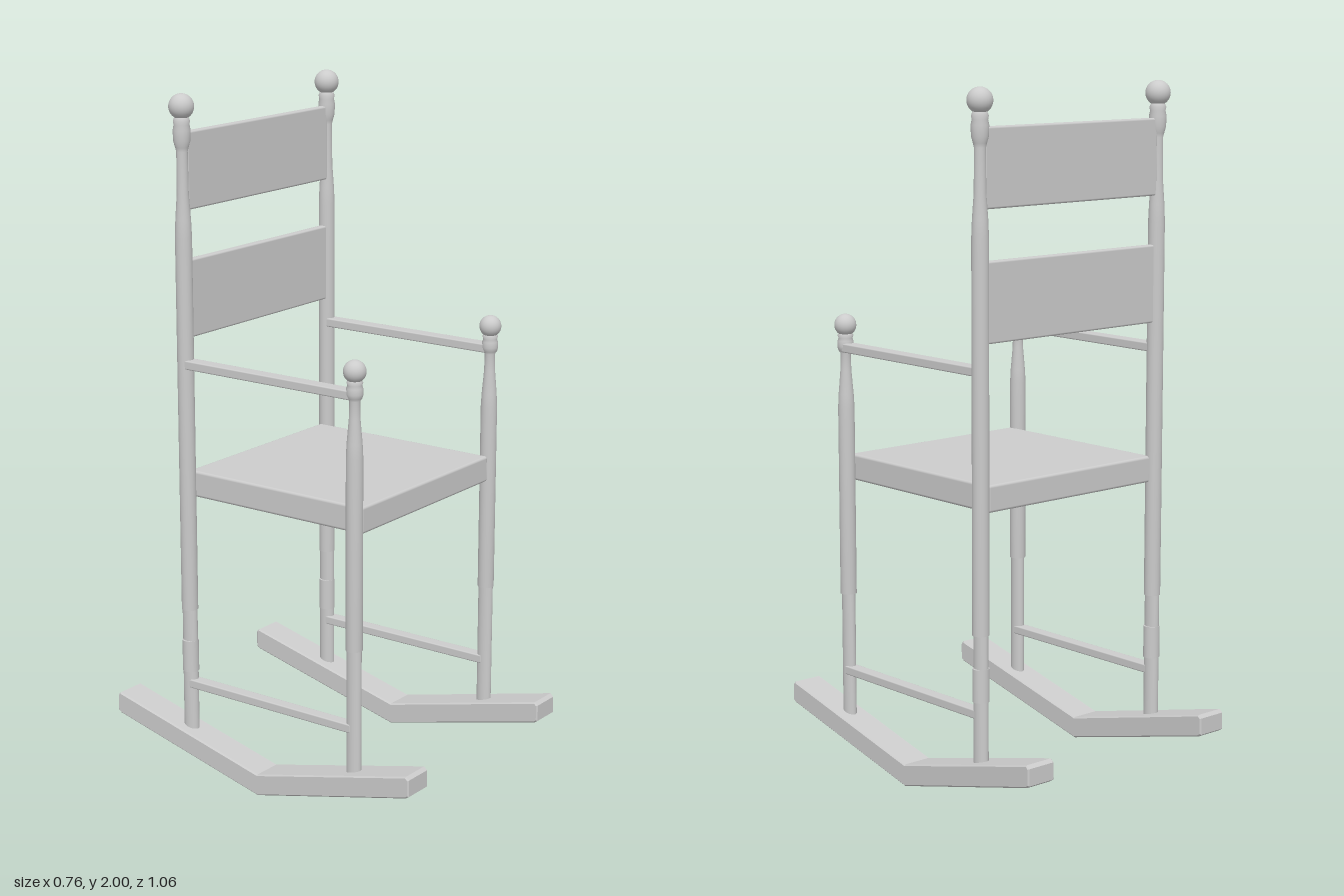
import * as THREE from 'three';
import { RoundedBoxGeometry } from 'three/addons/geometries/RoundedBoxGeometry.js';

const material = new THREE.MeshStandardMaterial({ color: 0xcccccc });
const POST_X = 0.335, BACK_Z = -0.281, FRONT_Z = 0.311;

function add(parent, name, geometry, x = 0, y = 0, z = 0) {
  const mesh = new THREE.Mesh(geometry, material);
  mesh.name = name;
  mesh.position.set(x, y, z);
  parent.add(mesh);
  return mesh;
}

// Box with softened edges, given by its extents
function softBox(parent, name, [x0, x1], [y0, y1], [z0, z1], radius) {
  const geometry = new RoundedBoxGeometry(x1 - x0, y1 - y0, z1 - z0, 2, radius);
  return add(parent, name, geometry, (x0 + x1) / 2, (y0 + y1) / 2, (z0 + z1) / 2);
}

// Turned post: lathed shaft with a collar and ball on top, slimmer lower sections
function post(name, x, z, { shaft, slim, ballY, ballR }) {
  const group = new THREE.Group();
  group.name = name;
  group.position.set(x, 0, z);
  const points = shaft.map(([r, y]) => new THREE.Vector2(r, y));
  add(group, 'shaft', new THREE.LatheGeometry(points, 24));
  for (const [y0, y1, r, squash] of slim) {
    const section = add(group, 'lowerShaft', new THREE.CylinderGeometry(r, r, y1 - y0, 24), 0, (y0 + y1) / 2, 0);
    section.scale.x = squash;
  }
  add(group, 'ballFinial', new THREE.SphereGeometry(ballR, 24, 16), 0, ballY, 0);
  return group;
}

const backPost = {
  shaft: [[0, 0.5], [0.024, 0.5], [0.024, 1.6], [0.022, 1.65], [0.017, 1.72], [0.016, 1.84],
    [0.019, 1.852], [0.024, 1.87], [0.025, 1.9], [0.022, 1.915], [0.024, 1.925], [0.018, 1.94], [0, 1.945]],
  slim: [[0.11, 0.31, 0.024, 0.8], [0.31, 0.405, 0.024, 1], [0.405, 0.5, 0.024, 0.75]],
  ballY: 1.965, ballR: 0.036,
};
const frontPost = {
  shaft: [[0, 0.505], [0.024, 0.505], [0.024, 1.06], [0.022, 1.1], [0.016, 1.17], [0.015, 1.22],
    [0.021, 1.228], [0.024, 1.24], [0.023, 1.256], [0.02, 1.264], [0.023, 1.272], [0.017, 1.28], [0, 1.285]],
  slim: [[0.11, 0.505, 0.023, 0.75]],
  ballY: 1.302, ballR: 0.032,
};

// V-shaped runner, extruded sideways
function rockerGeometry() {
  const half = [[0.52, 0.13], [0.53, 0.137], [0.53, 0.186], [0.52, 0.195]];
  const shape = new THREE.Shape();
  shape.moveTo(0, 0);
  half.forEach(([z, y]) => shape.lineTo(z, y));
  shape.lineTo(0, 0.065);
  [...half].reverse().forEach(([z, y]) => shape.lineTo(-z, y));
  shape.closePath();
  const bevel = 0.004;
  const geometry = new THREE.ExtrudeGeometry(shape, {
    depth: 0.095 - 2 * bevel, bevelThickness: bevel, bevelSize: bevel, bevelOffset: -bevel, bevelSegments: 1,
  });
  return geometry.translate(0, 0, bevel - 0.0475).rotateY(-Math.PI / 2);
}

export function createModel() {
  const chair = new THREE.Group();
  chair.name = 'rockingChair';

  // Seat and back slats
  softBox(chair, 'seat', [-0.322, 0.308], [0.84, 0.918], [-0.285, 0.328], 0.008);
  softBox(chair, 'lowerBackSlat', [-0.325, 0.325], [1.31, 1.535], [-0.292, -0.269], 0.006);
  softBox(chair, 'upperBackSlat', [-0.325, 0.325], [1.675, 1.895], [-0.292, -0.269], 0.006);

  // Each side: two posts, armrest, stretcher and rocker
  for (const [side, s] of [['left', 1], ['right', -1]]) {
    const x = s * POST_X;
    chair.add(post(`${side}BackPost`, x, BACK_Z, backPost));
    chair.add(post(`${side}FrontPost`, x, FRONT_Z, frontPost));
    softBox(chair, `${side}Armrest`, [x - 0.02, x + 0.02], [1.224, 1.25], [BACK_Z, FRONT_Z], 0.004);
    softBox(chair, `${side}Stretcher`, [x - 0.018, x + 0.018], [0.26, 0.286], [BACK_Z, FRONT_Z], 0.004);
    add(chair, `${side}Rocker`, rockerGeometry(), x, 0, 0);
  }
  return chair;
}
